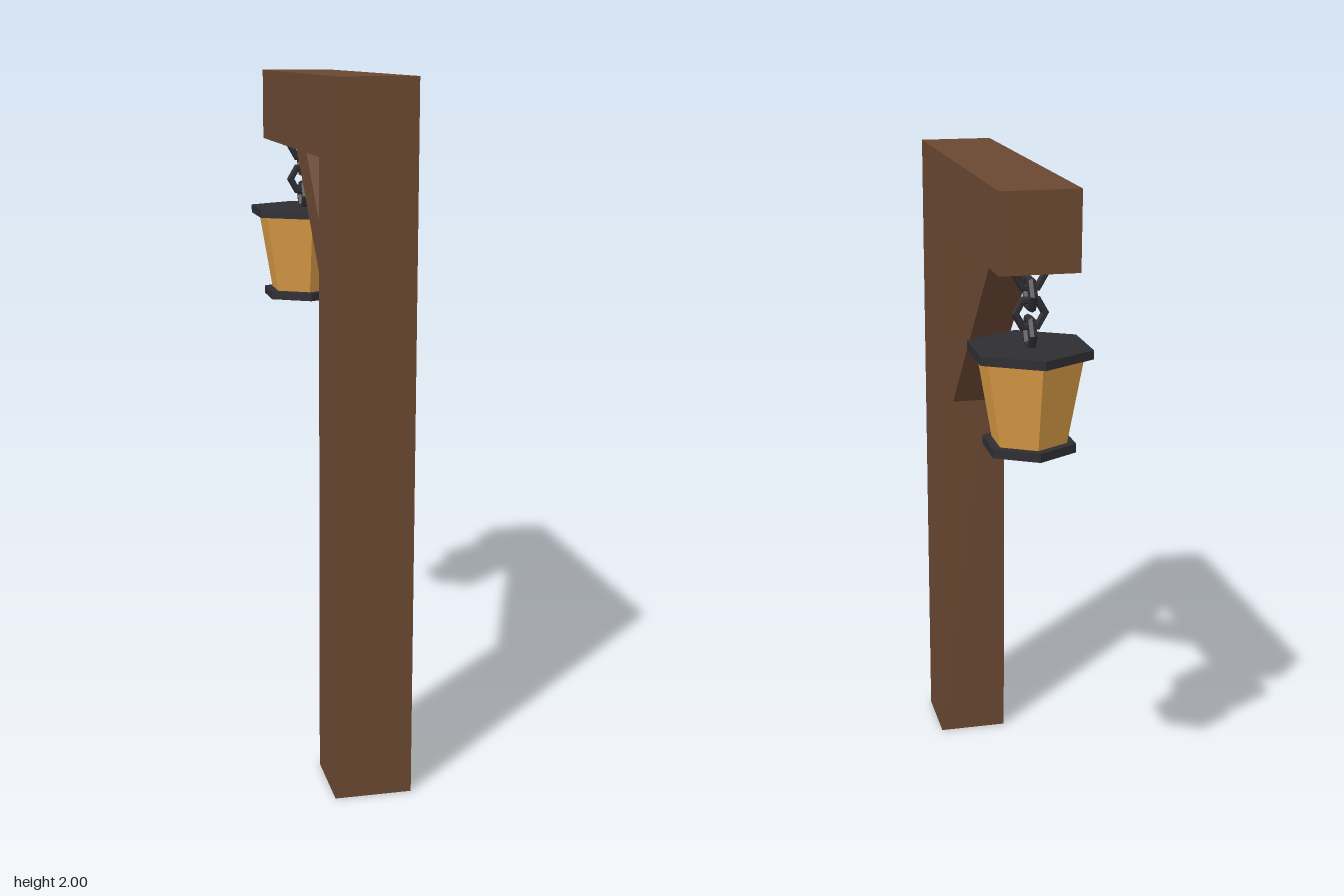
import * as THREE from 'three';

const material = (color) => new THREE.MeshStandardMaterial({ color, flatShading: true });

// Extrudes a side outline given as [z, y] points, centred on x = 0
function sideExtrude(points, width) {
  const shape = new THREE.Shape(points.map(([z, y]) => new THREE.Vector2(-z, y)));
  const geometry = new THREE.ExtrudeGeometry(shape, { depth: width, bevelEnabled: false });
  geometry.translate(0, 0, -width / 2);
  geometry.rotateY(Math.PI / 2);
  return geometry;
}

export function createModel() {
  const model = new THREE.Group();
  model.name = 'hangingLanternPost';
  const wood = material(0x6b4832);
  const iron = material(0x2e2e33);
  const glass = material(0xdb9c45);

  const add = (parent, name, geometry, mat) => {
    const mesh = new THREE.Mesh(geometry, mat);
    mesh.name = name;
    parent.add(mesh);
    return mesh;
  };

  // Post and overhanging beam in one piece
  add(model, 'postAndBeam', sideExtrude([
    [0.59, 0], [0.37, 0], [0.37, 1.783], [-0.52, 1.783], [-0.52, 2], [0.59, 2],
  ], 0.22), wood);

  // Diagonal brace, its ends sunk slightly into post and beam
  add(model, 'brace', sideExtrude([
    [0.38, 1.182], [-0.233, 1.795], [-0.082, 1.795], [0.38, 1.333],
  ], 0.12), wood);

  const lantern = new THREE.Group();
  lantern.name = 'lantern';
  lantern.position.z = -0.412;
  model.add(lantern);

  // Hexagonal body between two plates
  const hexagon = (name, top, bottom, y0, y1, mat) => {
    add(lantern, name, new THREE.CylinderGeometry(top, bottom, y1 - y0, 6), mat)
      .position.y = (y0 + y1) / 2;
  };
  hexagon('lanternCap', 0.178, 0.178, 1.545, 1.57, iron);
  hexagon('lanternGlass', 0.152, 0.108, 1.304, 1.546, glass);
  hexagon('lanternBase', 0.134, 0.134, 1.28, 1.305, iron);

  // Chain of alternating six-sided links
  const link = new THREE.TorusGeometry(0.041, 0.012, 6, 6);
  for (let i = 0; i < 4; i++) {
    const mesh = add(lantern, 'chainLink', link, iron);
    mesh.position.y = 1.605 + i * 0.053;
    mesh.rotation.y = i % 2 ? 0 : Math.PI / 2;
  }
  return model;
}
